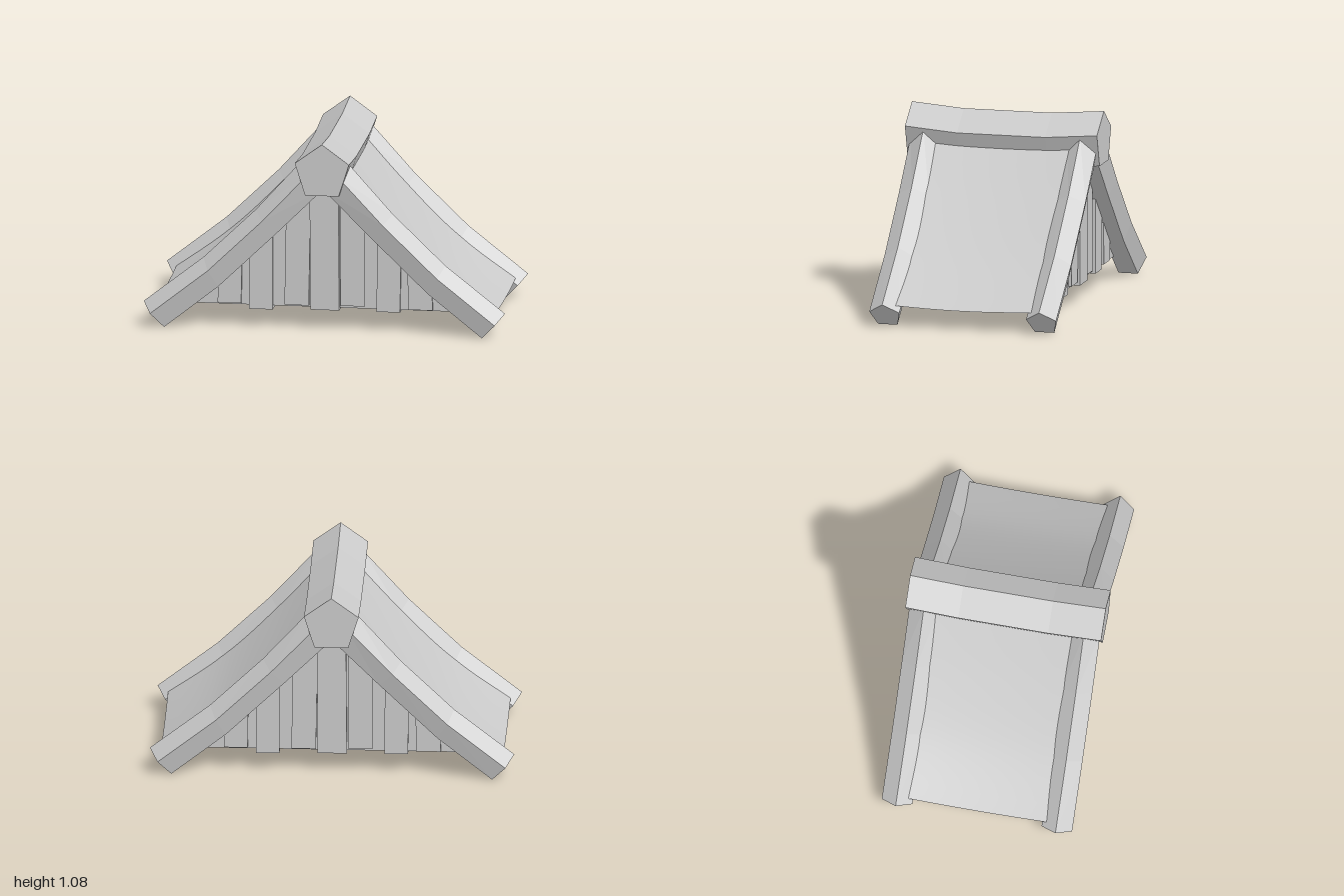
import * as THREE from 'three';
import { toCreasedNormals } from 'three/addons/utils/BufferGeometryUtils.js';

const material = new THREE.MeshStandardMaterial({ color: 0xcccccc });
const flat = new THREE.MeshStandardMaterial({ color: 0xcccccc, flatShading: true });

// Closed solid through matching convex rings of points, wound outwards
function loft(rings) {
  const n = rings[0].length;
  const pts = rings.flat();
  const tris = [];
  for (let r = 0; r < rings.length - 1; r++) {
    for (let i = 0; i < n; i++) {
      const a = r * n + i, b = r * n + (i + 1) % n;
      tris.push([a, b, b + n], [a, b + n, a + n]);
    }
  }
  const last = (rings.length - 1) * n;
  for (let i = 1; i < n - 1; i++) {
    tris.push([0, i + 1, i], [last, last + i, last + i + 1]);
  }
  const volume = tris.reduce((s, [a, b, c]) => s + pts[a].dot(pts[b].clone().cross(pts[c])), 0);
  if (volume < 0) tris.forEach((t) => t.reverse());
  const g = new THREE.BufferGeometry().setFromPoints(tris.flat().map((i) => pts[i]));
  g.computeVertexNormals();
  return g;
}

function addMesh(parent, name, geometry, mat = flat) {
  const mesh = new THREE.Mesh(geometry, mat);
  mesh.name = name;
  parent.add(mesh);
  return mesh;
}

function extrudeZ(points, z0, z1, steps = 1) {
  const shape = new THREE.Shape(points);
  return new THREE.ExtrudeGeometry(shape, { depth: z1 - z0, steps, bevelEnabled: false }).translate(0, 0, z0);
}

const v2 = (x, y) => new THREE.Vector2(x, y);
const v3 = (x, y, z) => new THREE.Vector3(x, y, z);

// Roof surface on the +x side, from ridge to eave
const slope = new THREE.SplineCurve([
  v2(0.07, 0.935), v2(0.35, 0.625), v2(0.635, 0.348), v2(0.94, 0.118),
]).getPoints(18);

// Height of the roof surface at a given x
function roofY(x) {
  const ax = Math.abs(x);
  for (let i = 1; i < slope.length; i++) {
    if (ax <= slope[i].x) {
      const a = slope[i - 1], b = slope[i];
      const t = Math.max(0, (ax - a.x) / (b.x - a.x));
      return a.y + (b.y - a.y) * t;
    }
  }
  return slope[slope.length - 1].y;
}

// Curved roof with a thin eave and a closed underside, sagging slightly mid-span
function roofGeometry() {
  const half = [...slope, v2(0.905, 0.115), v2(0.79, 0.2)];
  const outline = [...half, ...half.map((p) => v2(-p.x, p.y)).reverse()].reverse();
  const g = extrudeZ(outline, -0.4, 0.4, 8);
  const p = g.attributes.position;
  for (let i = 0; i < p.count; i++) {
    const t = p.getZ(i) / 0.4;
    p.setY(i, p.getY(i) - 0.013 * (1 - t * t));
  }
  return toCreasedNormals(g, 0.5);
}

// Five-sided ridge beam whose ends lift
function ridgeGeometry() {
  const section = [[0, 1.075], [0.15, 0.965], [0.093, 0.785], [-0.093, 0.785], [-0.15, 0.965]];
  const stations = [[-0.545, 0], [-0.25, -0.024], [0.25, -0.024], [0.545, 0]];
  return loft(stations.map(([z, dy]) => section.map(([x, y]) => v3(x, y + dy, z))));
}

// Five-sided bent rafter: top edge and underside at each bend
function rafterGeometry(side, zMid) {
  const bends = [
    [1, 0.13, 0.88, 0],
    [0.67, 0.39, 0.58, 0.24],
    [0.38, 0.67, 0.26, 0.55],
    [0.13, 0.95, 0, 0.81],
  ];
  const section = [[0, 0], [0.38, 0.085], [1, 0.055], [1, -0.055], [0.38, -0.085]];
  return loft(bends.map(([ax, ay, bx, by]) => section.map(([t, dz]) =>
    v3(side * (ax + (bx - ax) * t), ay + (by - ay) * t, zMid + dz))));
}

// Plank wall filling one gable end
function gable() {
  const group = new THREE.Group();
  const edge = slope.filter((p) => p.x < 0.76).map((p) => v2(p.x, p.y - 0.03));
  const wall = [v2(0.78, 0.12), ...edge.slice().reverse(),
    ...edge.map((p) => v2(-p.x, p.y)), v2(-0.78, 0.12)];
  addMesh(group, 'gableWall', extrudeZ(wall, 0.335, 0.403));

  // left x, right x, bottom y, lean at the top
  const planks = [
    [-0.595, -0.465, 0.13, 0.005],
    [-0.42, -0.29, 0.1, 0],
    [-0.225, -0.09, 0.13, 0.01],
    [-0.08, 0.08, 0.11, -0.005],
    [0.085, 0.22, 0.135, 0],
    [0.285, 0.415, 0.108, 0.005],
    [0.46, 0.595, 0.126, -0.005],
  ];
  for (const [x0, x1, y, lean] of planks) {
    const centre = x0 < 0 && x1 > 0;
    const a = x0 + lean, b = x1 + lean;
    const outline = [v2(x0, y), v2(x1, y), v2(b, roofY(b) - 0.06), v2(a, roofY(a) - 0.06)];
    addMesh(group, 'gablePlank', extrudeZ(outline, centre ? 0.305 : 0.328, centre ? 0.43 : 0.42));
  }
  return group;
}

export function createModel() {
  const model = new THREE.Group();
  model.name = 'gabledRoof';

  addMesh(model, 'roofPanels', roofGeometry(), material);
  addMesh(model, 'ridgeBeam', ridgeGeometry());

  // Rafters on both slopes at both ends
  for (const z of [0.445, -0.445]) {
    for (const side of [1, -1]) {
      const name = (z > 0 ? 'front' : 'back') + (side > 0 ? 'Left' : 'Right') + 'Rafter';
      addMesh(model, name, rafterGeometry(side, z));
    }
  }

  // Plank gables, the back one turned around
  const front = gable();
  front.name = 'frontGable';
  const back = gable();
  back.name = 'backGable';
  back.rotation.y = Math.PI;
  model.add(front, back);
  return model;
}
